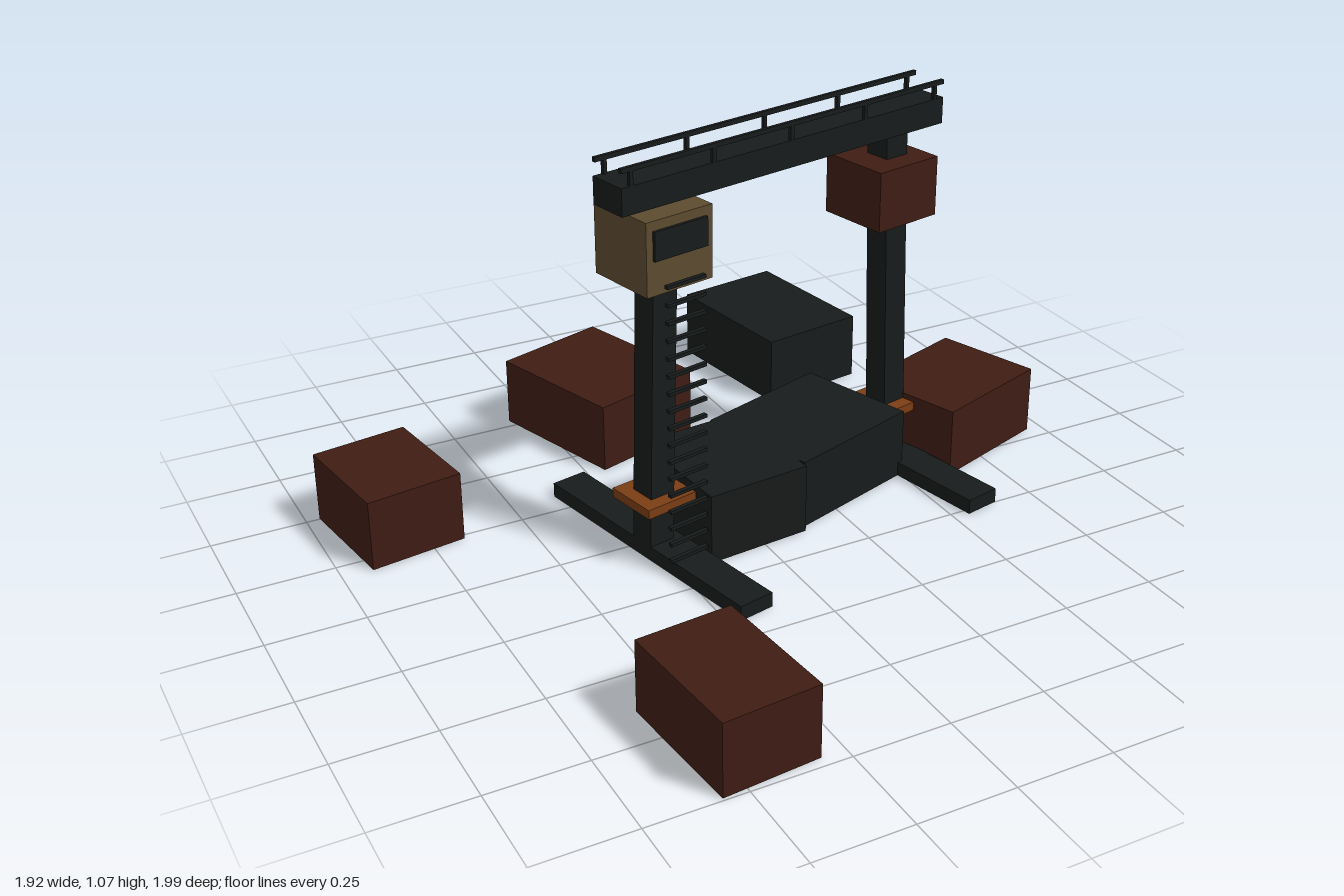
import * as THREE from 'three';

const material = (color) => new THREE.MeshStandardMaterial({ color });

export function createModel() {
  const model = new THREE.Group();
  const dark = material(0x181b1b);
  const red = material(0x3f1c14);
  const tan = material(0x5c4b30);
  const orange = material(0x7a3d14);

  function box(parent, name, mat, [w, h, d], [x, y, z]) {
    const mesh = new THREE.Mesh(new THREE.BoxGeometry(w, h, d), mat);
    mesh.name = name;
    mesh.position.set(x, y, z);
    parent.add(mesh);
    return mesh;
  }

  // Containers lying around the crane: x, z, width, depth, turn in degrees
  const containers = [
    ['leftRearContainer', red, -0.815, -0.368, 0.257, 0.31, 8.3],
    ['rearContainer', red, -0.106, -0.635, 0.326, 0.41, 17.5],
    ['darkRearContainer', dark, 0.518, -0.77, 0.305, 0.423, 8.5],
    ['frontContainer', red, -0.452, 0.805, 0.25, 0.356, 5],
    ['sideContainer', red, 0.738, -0.13, 0.36, 0.3, 19],
    ['hullSectionA', dark, -0.034, -0.013, 0.287, 0.34, 5.3],
    ['hullSectionB', dark, 0.265, -0.097, 0.395, 0.337, 18],
  ];
  containers.forEach(([name, mat, x, z, w, d, turn], i) => {
    const h = name === 'hullSectionB' ? 0.189 : 0.19;
    box(model, name, mat, [w, h, d], [x, h / 2, z]).rotation.y = THREE.MathUtils.degToRad(turn);
  });

  // Gantry crane, turned as a whole
  const crane = new THREE.Group();
  crane.name = 'gantryCrane';
  crane.position.set(0.131, 0, -0.037);
  crane.rotation.y = THREE.MathUtils.degToRad(12);
  model.add(crane);

  // Feet, base plates and inward-leaning legs
  for (const side of [-1, 1]) {
    box(crane, 'foot', dark, [0.098, 0.04, 0.772], [side * 0.39, 0.02, 0]);
    box(crane, 'basePlate', orange, [0.148, 0.025, 0.148], [side * 0.398, 0.162, 0]);
    const leg = box(crane, 'leg', dark, [0.072, 0.95, 0.072], [side * 0.389, 0.478, 0]);
    leg.rotation.z = side * 0.033;
  }

  // Top beam with a railing on both edges
  box(crane, 'topBeam', dark, [1.03, 0.07, 0.11], [0, 0.985, 0]);
  for (const z of [-0.05, 0.05]) {
    box(crane, 'handrail', dark, [1.03, 0.012, 0.01], [0, 1.061, z]);
    for (let i = -2; i <= 2; i++) {
      box(crane, 'railPost', dark, [0.01, 0.045, 0.01], [i * 0.243, 1.038, z]);
    }
  }

  // Operator cabin with its window, and the counterweight
  box(crane, 'cabin', tan, [0.195, 0.187, 0.2], [-0.385, 0.848, 0]);
  box(crane, 'cabinWindow', dark, [0.157, 0.074, 0.012], [-0.385, 0.88, 0.102]);
  box(crane, 'counterweight', red, [0.2, 0.16, 0.2], [0.358, 0.805, 0]);

  // Ladder rungs up to the cabin
  for (let i = 0; i < 17; i++) {
    box(crane, 'ladderRung', dark, [0.115, 0.009, 0.012], [-0.389, 0.045 + i * 0.046, 0.125]);
  }
  return model;
}
